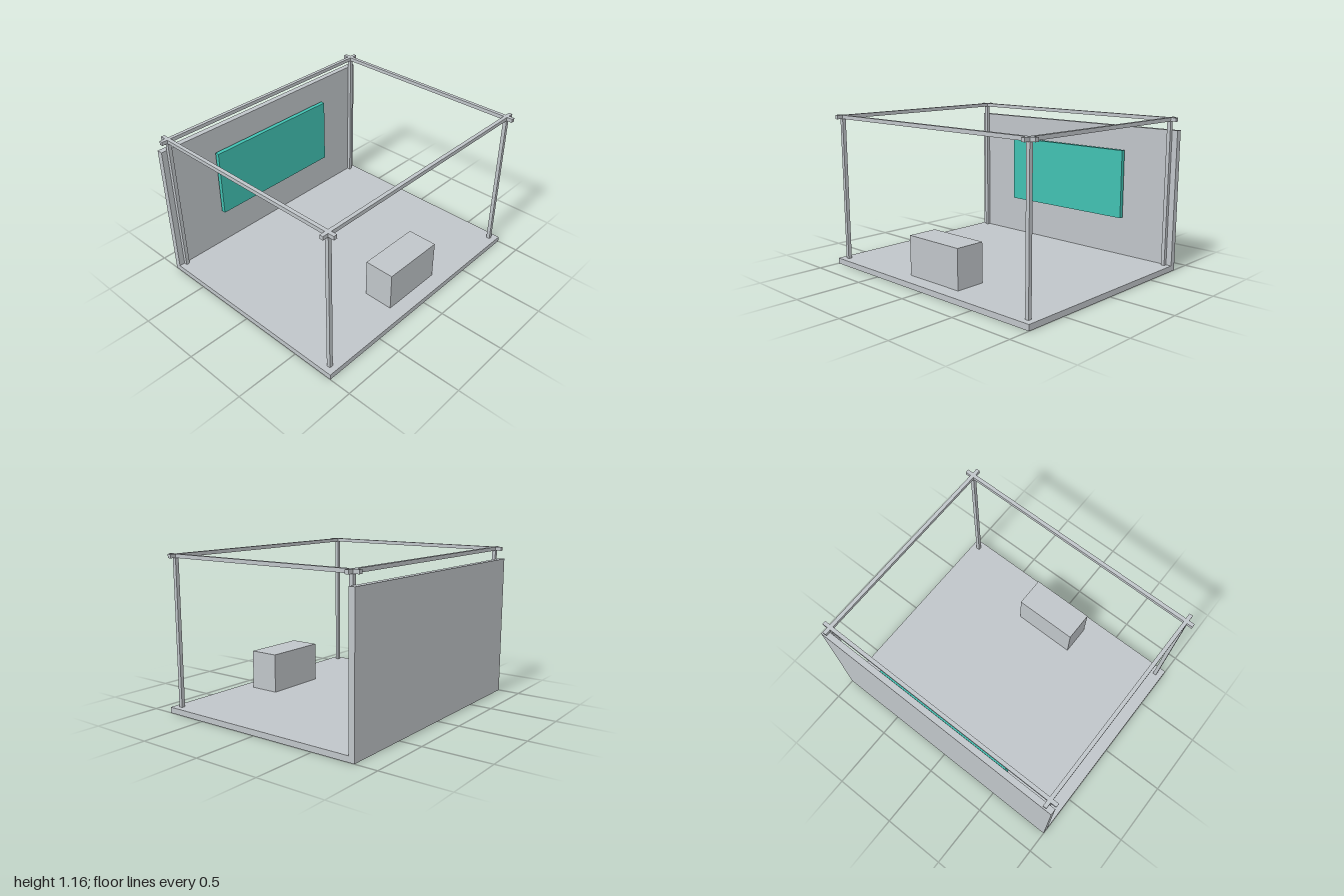
import * as THREE from 'three';

export function createModel() {
  const model = new THREE.Group();
  const grey = new THREE.MeshStandardMaterial({ name: 'grey', color: 0xc0c5c9 });
  const teal = new THREE.MeshStandardMaterial({ name: 'teal', color: 0x41c1b2 });

  // Box given by its extents along each axis
  function block(name, [x0, x1], [y0, y1], [z0, z1], material = grey) {
    const mesh = new THREE.Mesh(new THREE.BoxGeometry(x1 - x0, y1 - y0, z1 - z0), material);
    mesh.name = name;
    mesh.position.set((x0 + x1) / 2, (y0 + y1) / 2, (z0 + z1) / 2);
    model.add(mesh);
  }
  const around = (centre, half) => [centre - half, centre + half];

  const halfX = 1, halfZ = 0.831, floorTop = 0.043, frameTop = 1.165;
  const bar = 0.014; // half thickness of the frame bars
  const postX = 0.942, postZ = 0.772;

  // Floor slab, back wall, screen and counter
  block('floor', [-halfX, halfX], [0, floorTop], [-halfZ, halfZ]);
  block('backWall', [-halfX, halfX], [floorTop, 1.07], [-halfZ, -0.786]);
  block('screen', [-0.565, 0.565], [0.353, 0.887], [-0.758, -0.724], teal);
  block('counter', [-0.25, 0.25], [floorTop, 0.343], [0.48, 0.715]);

  // Open frame: corner posts and overhanging top beams
  const beamY = [frameTop - 2 * bar, frameTop];
  for (const s of [-1, 1]) {
    for (const t of [-1, 1]) {
      block('post', around(s * postX, bar), [floorTop, frameTop], around(t * postZ, bar));
    }
    block('crossBeam', [-halfX, halfX], beamY, around(s * postZ, bar));
    block('sideBeam', around(s * postX, bar), beamY, [-halfZ, halfZ]);
  }
  return model;
}
